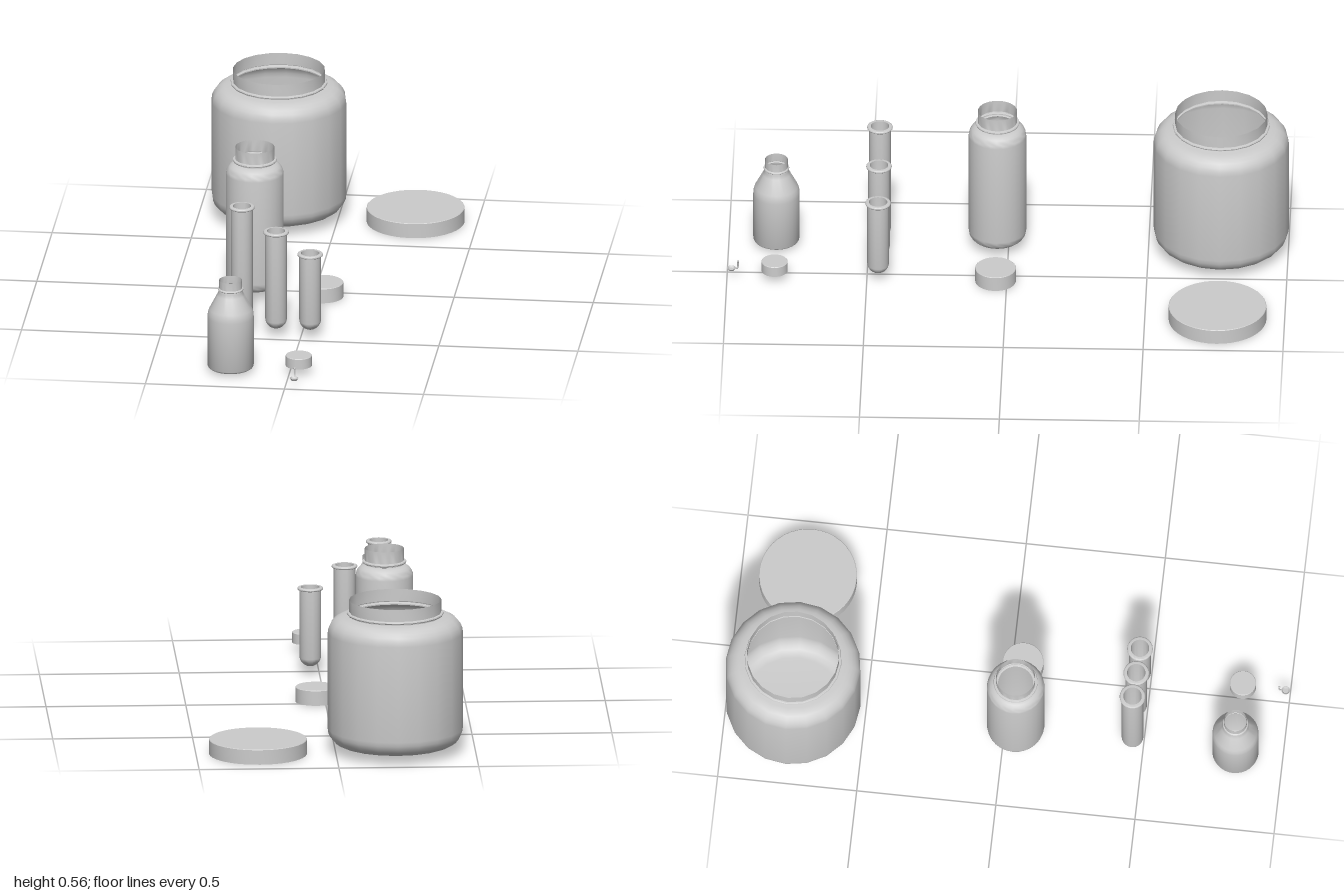
import * as THREE from 'three';
import { toCreasedNormals } from 'three/addons/utils/BufferGeometryUtils.js';

const material = new THREE.MeshStandardMaterial({ color: 0xcccccc, side: THREE.DoubleSide });

// Points of a circular arc, angles in degrees
function arc(cx, cy, r, from, to, steps = 6) {
  return Array.from({ length: steps + 1 }, (_, i) => {
    const a = THREE.MathUtils.degToRad(from + ((to - from) * i) / steps);
    return [cx + r * Math.cos(a), cy + r * Math.sin(a)];
  });
}

// Turned part from a [radius, height] profile
function turned(name, profile, x, z, sides = 32) {
  const points = profile.map(([r, y]) => new THREE.Vector2(Math.max(r, 0), y));
  const mesh = new THREE.Mesh(toCreasedNormals(new THREE.LatheGeometry(points, sides), 0.75), material);
  mesh.name = name;
  mesh.position.set(x, 0, z);
  return mesh;
}

// Wide-mouthed jar: rounded body, collar ring, straight open neck
function jar(name, r, round, neck, x, z, sides) {
  return turned(name, [
    [0, 0.03],
    ...arc(r - round, 0.03 + round, round, -90, 0),
    ...arc(r - round, 0.5 - round, round, 0, 90),
    [neck, 0.502], [neck, 0.506],
    ...arc(neck + 0.004, 0.511, 0.005, -90, 90, 4),
    [neck, 0.516], [neck, 0.56],
  ], x, z, sides);
}

// Hollow cap, open underneath
function cap(name, r, bottom, top, x, z) {
  const wall = r * 0.05, b = 0.002;
  return turned(name, [
    [0, top - wall], [r - wall, top - wall], [r - wall, bottom], [r, bottom],
    [r, top - b], [r - b, top], [0, top],
  ], x, z, 40);
}

// Round-bottomed tube with a rolled lip and an inner wall
function tube(name, top, x, z) {
  const r = 0.039, inner = 0.033;
  return turned(name, [
    ...arc(0, 0.03 + r, r, -90, 0, 8),
    [r, top - 0.01],
    ...arc(r + 0.002, top - 0.005, 0.005, -90, 90, 6),
    [inner, top],
    ...arc(0, 0.03 + r, inner, 0, -90, 8),
  ], x, z);
}

export function createModel() {
  const group = new THREE.Group();

  // Jars and their lids
  group.add(jar('largeJar', 0.242, 0.06, 0.165, -0.213, -0.76, 20));
  group.add(cap('largeLid', 0.175, 0, 0.055, 0.278, -0.76));
  group.add(jar('mediumJar', 0.103, 0.04, 0.07, -0.212, 0.04, 28));
  group.add(cap('mediumLid', 0.073, 0, 0.055, 0.033, 0.04));

  // Tubes in a row
  [0.49, 0.4, 0.32].forEach((top, i) => {
    group.add(tube('testTube' + (i + 1), top, -0.212 + i * 0.1225, 0.46));
  });

  // Small bottle with a dished base and sloping shoulders
  group.add(turned('smallBottle', [
    [0, 0.03], [0.035, 0.026], [0.058, 0.013],
    ...arc(0.069, 0.026, 0.014, -90, 0, 4),
    [0.083, 0.205], [0.082, 0.22], [0.077, 0.236],
    [0.05, 0.288], [0.044, 0.3], [0.042, 0.307],
    ...arc(0.042, 0.311, 0.004, -60, 60, 4),
    [0.041, 0.315], [0.041, 0.345],
  ], -0.212, 0.83));
  group.add(cap('smallLid', 0.047, 0.03, 0.069, 0.033, 0.83));

  // Tiny measuring spoon: shallow bowl with an upright handle
  const spoon = new THREE.Group();
  spoon.name = 'measuringSpoon';
  spoon.add(turned('spoonBowl', [
    [0, 0.029], [0.011, 0.03], [0.016, 0.038], [0.014, 0.038], [0.01, 0.032], [0, 0.031],
  ], 0.033, 0.984, 20));
  const path = new THREE.CatmullRomCurve3([
    new THREE.Vector3(0.033, 0.036, 0.97),
    new THREE.Vector3(0.033, 0.037, 0.964),
    new THREE.Vector3(0.033, 0.043, 0.961),
    new THREE.Vector3(0.033, 0.066, 0.961),
  ]);
  const handle = new THREE.Mesh(new THREE.TubeGeometry(path, 12, 0.003, 8), material);
  handle.name = 'spoonHandle';
  const tip = new THREE.Mesh(new THREE.SphereGeometry(0.004, 10, 8), material);
  tip.name = 'handleTip';
  tip.position.set(0.033, 0.065, 0.961);
  spoon.add(handle, tip);
  group.add(spoon);

  return group;
}
